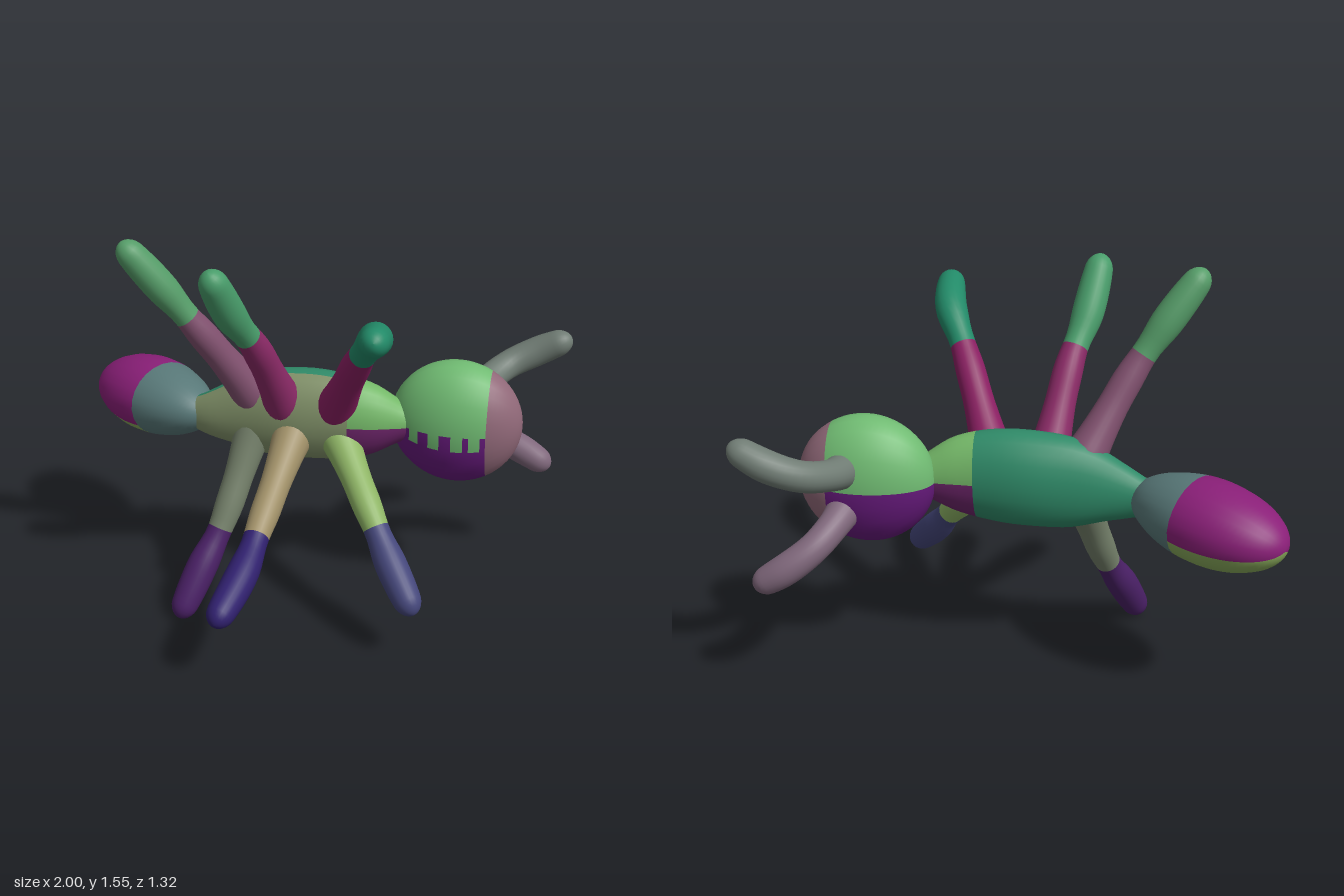
import * as THREE from 'three';

const v = (p) => new THREE.Vector3(...p);
const RINGS = 36, SIDES = 24;

// Smooth tube along a path: tall/wide radii lists, rounded caps, colour chosen by region(t, angle, x)
function sweep(name, points, tall, wide, cap0, cap1, colors, region) {
  const path = new THREE.CatmullRomCurve3(points.map(v));
  const profile = (list) => new THREE.SplineCurve(list.map((r, i) => new THREE.Vector2(i, r)));
  const tallCurve = profile(tall), wideCurve = profile(wide);
  const length = path.getLength(), up = new THREE.Vector3(0, 1, 0);
  const round = (d, cap) => (cap > 0 && d < cap ? Math.sqrt(Math.max(0, 1 - (1 - d / cap) ** 2)) : 1);
  const positions = [], faces = colors.map(() => []);
  for (let i = 0; i <= RINGS; i++) {
    const t = (1 - Math.cos((Math.PI * i) / RINGS)) / 2;
    const c = path.getPointAt(t), axis = path.getTangentAt(t);
    const side = up.clone().cross(axis).normalize();
    const top = axis.clone().cross(side);
    const k = round(t * length, cap0) * round((1 - t) * length, cap1);
    const a = tallCurve.getPoint(t).y * k, b = wideCurve.getPoint(t).y * k;
    for (let j = 0; j < SIDES; j++) {
      const angle = (j / SIDES) * Math.PI * 2;
      const p = c.clone().addScaledVector(side, b * Math.cos(angle)).addScaledVector(top, a * Math.sin(angle));
      positions.push(p.x, p.y, p.z);
      if (i === RINGS) continue;
      const n = (j + 1) % SIDES, row = i * SIDES, next = row + SIDES;
      faces[region(t, angle)].push(row + j, row + n, next + j, row + n, next + n, next + j);
    }
  }
  const geometry = new THREE.BufferGeometry();
  geometry.setAttribute('position', new THREE.Float32BufferAttribute(positions, 3));
  geometry.setIndex(faces.flat());
  let start = 0;
  faces.forEach((f, i) => {
    geometry.addGroup(start, f.length, i);
    start += f.length;
  });
  geometry.computeVertexNormals();
  const mesh = new THREE.Mesh(geometry, colors.map((color) => new THREE.MeshStandardMaterial({ color })));
  mesh.name = name;
  return mesh;
}

export function createModel() {
  const ant = new THREE.Group();
  ant.name = 'ant';

  // Abdomen: rear two thirds magenta above and green below, grey-teal toward the waist
  ant.add(sweep('abdomen', [[-0.975, 0.72, -0.62], [-0.725, 0.735, -0.41], [-0.475, 0.75, -0.2]],
    [0.155, 0.157, 0.145], [0.19, 0.18, 0.165], 0.327, 0.327, [0x8a1f78, 0x87a85a, 0x587878],
    (t, a) => (t > 0.58 ? 2 : a > 3.5 && a < 6 ? 1 : 0)));

  // Thorax, narrowing into the waist and the neck
  ant.add(sweep('thorax',
    [[-0.56, 0.74, -0.26], [-0.45, 0.75, -0.22], [-0.25, 0.78, -0.195], [-0.03, 0.795, -0.17], [0.16, 0.795, -0.145], [0.36, 0.785, -0.15]],
    [0.06, 0.115, 0.175, 0.19, 0.185, 0.15, 0.07], [0.05, 0.075, 0.105, 0.125, 0.12, 0.1, 0.06],
    0, 0, [0x2f8a68, 0x809068, 0x6b2468, 0x74b868],
    (t, a) => (t > 0.72 ? (a < Math.PI ? 3 : 2) : a > 1.7 && a < 4.2 ? 1 : 0)));

  // Head: green crown, purple jaw, mauve face
  ant.add(sweep('head', [[0.28, 0.79, -0.21], [0.54, 0.79, -0.175], [0.8, 0.79, -0.145]],
    [0.255, 0.255, 0.255], [0.155, 0.16, 0.16], 0.263, 0.263, [0x70bb72, 0x65197a, 0x906878],
    (t, a) => (t > 0.72 ? 2 : a < Math.PI + 0.15 * Math.sin(t * 40) ? 0 : 1)));

  // Antennae curving from the back of the head
  const feeler = [0.075, 0.06, 0.058, 0.06, 0.05];
  const antennae = [
    ['upperAntenna', [[0.6, 0.85, -0.22], [0.65, 0.88, -0.36], [0.74, 0.92, -0.46], [0.85, 0.97, -0.49], [0.99, 1.045, -0.47]], 0x707c74],
    ['lowerAntenna', [[0.6, 0.72, -0.22], [0.65, 0.67, -0.34], [0.72, 0.61, -0.42], [0.82, 0.54, -0.455], [0.94, 0.465, -0.45]], 0x80687c],
  ];
  for (const [name, points, color] of antennae)
    ant.add(sweep(name, points, feeler, feeler, 0, 0.06, [color], () => 0));

  // Six legs: base, knee, shin, tip, thigh colour, shin colour
  const legs = [
    ['upperRearLeg', [-0.27, 0.86, -0.18], [-0.46, 1.18, -0.05], [-0.57, 1.34, -0.01], [-0.725, 1.55, 0.04], 0x80506e, 0x559c68],
    ['upperMiddleLeg', [-0.14, 0.84, -0.14], [-0.23, 1.18, 0.07], [-0.29, 1.32, 0.17], [-0.35, 1.535, 0.3], 0x8a2a66, 0x489c6a],
    ['upperFrontLeg', [0.06, 0.84, -0.12], [0.18, 1.18, 0.16], [0.24, 1.31, 0.3], [0.25, 1.385, 0.52], 0x8a1f62, 0x228a68],
    ['lowerRearLeg', [-0.26, 0.76, -0.19], [-0.385, 0.36, 0.0], [-0.46, 0.2, 0.09], [-0.54, 0.02, 0.19], 0x74806a, 0x4a2066],
    ['lowerMiddleLeg', [-0.1, 0.74, -0.13], [-0.19, 0.5, 0.24], [-0.23, 0.4, 0.42], [-0.305, 0.305, 0.655], 0xa09068, 0x30206e],
    ['lowerFrontLeg', [0.07, 0.74, -0.13], [0.22, 0.53, 0.13], [0.31, 0.38, 0.25], [0.415, 0.235, 0.395], 0x8eb465, 0x44467a],
  ];
  const girth = [0.085, 0.07, 0.06, 0.058, 0.05, 0.062, 0.06, 0.05];
  for (const [name, base, knee, shin, tip, thighColor, shinColor] of legs)
    ant.add(sweep(name, [base, knee, shin, tip], girth, girth, 0, 0.06, [thighColor, shinColor], (t) => (t < 0.52 ? 0 : 1)));

  return ant;
}
